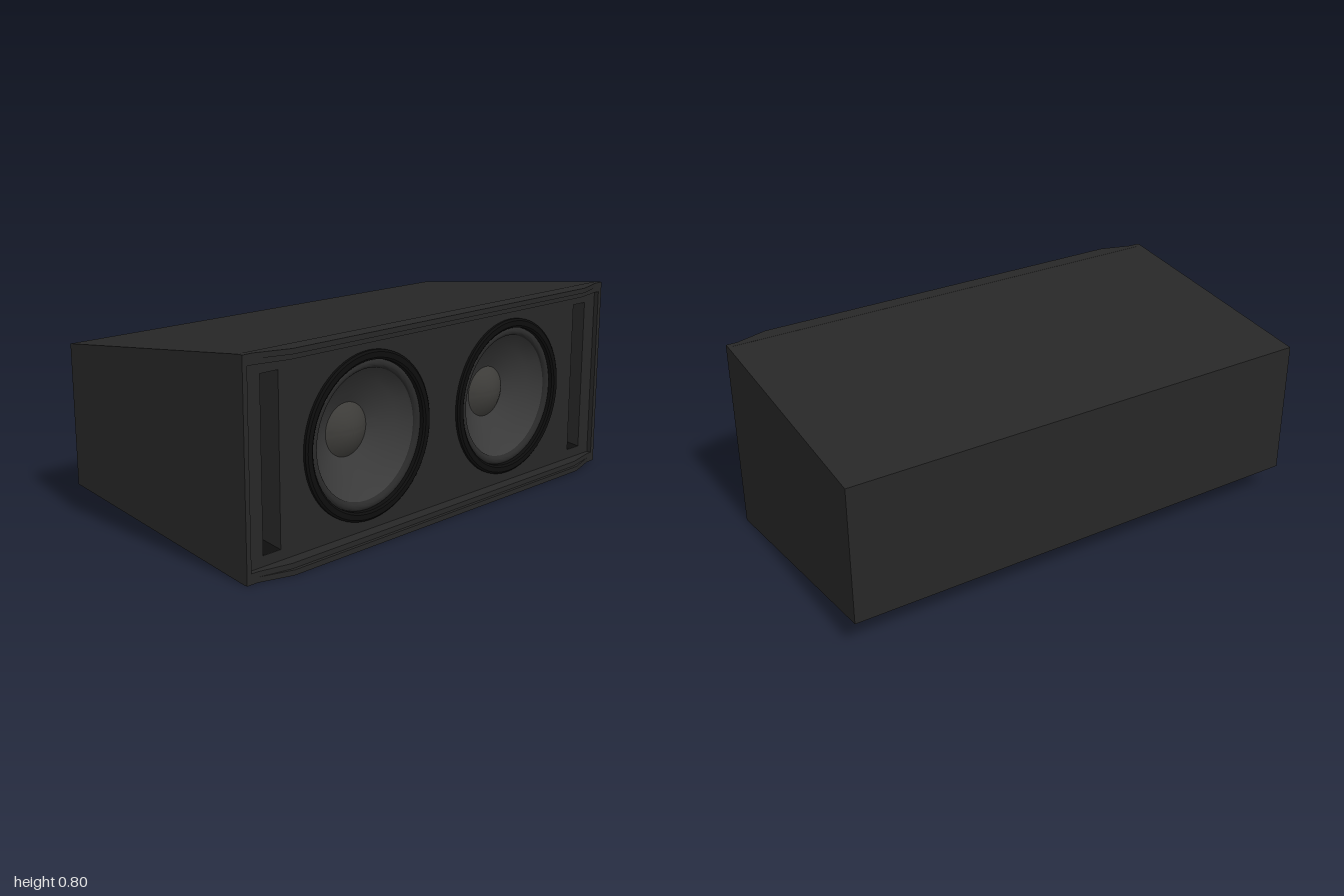
import * as THREE from 'three';
import { toCreasedNormals } from 'three/addons/utils/BufferGeometryUtils.js';

const mat = (color) => new THREE.MeshStandardMaterial({ color, side: THREE.DoubleSide });
const shell = mat(0x272727);
const black = mat(0x0d0d0d);
const surroundMat = mat(0x2a2a2a);
const coneMat = mat(0x3a3a3a);
const capMat = mat(0x3e3d3a);

const BACK = -0.53, FRONT = 0.485, BAFFLE = 0.465, MID = 0.4;

function add(parent, name, geometry, material) {
  const mesh = new THREE.Mesh(geometry, material);
  mesh.name = name;
  parent.add(mesh);
  return mesh;
}

const polygon = (pts) => new THREE.Shape(pts.map(([x, y]) => new THREE.Vector2(x, y)));

// Extrudes an x-y outline along z, centred on z
function prism(pts, depth, z = 0) {
  const g = new THREE.ExtrudeGeometry(polygon(pts), { depth, bevelEnabled: false });
  return g.translate(0, 0, z - depth / 2);
}

// Extrudes a plan outline (x, z) upward from y0 to y1
function slab(pts, y0, y1) {
  const shape = polygon(pts.map(([x, z]) => [x, -z]));
  const g = new THREE.ExtrudeGeometry(shape, { depth: y1 - y0, bevelEnabled: false });
  return g.rotateX(-Math.PI / 2).translate(0, y0, 0);
}

// Lathe profile of [radius, forward offset], turned to face +x
function turned(profile, crease = 0.6) {
  const g = new THREE.LatheGeometry(profile.map(([r, h]) => new THREE.Vector2(r, h)), 64);
  return toCreasedNormals(g.rotateZ(-Math.PI / 2), crease);
}

function makeCabinet() {
  const cabinet = new THREE.Group();
  cabinet.name = 'cabinet';
  const t = 0.02;
  const outline = [[BACK, 0.12], [0.465, 0], [FRONT, 0], [FRONT, 0.8], [0.465, 0.8], [BACK, 0.68]];
  for (const s of [1, -1]) {
    add(cabinet, 'sidePanel', prism(outline, t, s * (1 - t / 2)), shell);
    // Top and bottom panels follow the taper toward the back
    const panel = [[BACK, 0.28], [0.465, 0.4], [FRONT, 0.4], [FRONT, 0.38], [0.465, 0.38], [BACK, 0.26]];
    add(cabinet, s > 0 ? 'topPanel' : 'bottomPanel',
      prism(panel.map(([x, y]) => [x, MID + s * y]), 2 - 2 * t), shell);
  }
  add(cabinet, 'backPanel', new THREE.BoxGeometry(t, 0.555, 1.99).translate(BACK + t / 2, MID, 0), shell);
  return cabinet;
}

// Front board with two round openings and two port slots
function makeBaffle() {
  const shape = polygon([[-0.98, 0.02], [0.98, 0.02], [0.98, 0.78], [-0.98, 0.78]]);
  for (const s of [1, -1]) {
    const circle = new THREE.Path();
    circle.absarc(s * 0.4, MID, 0.29, 0, Math.PI * 2, true);
    const slot = new THREE.Path([[-0.04, 0.08], [-0.04, 0.72], [0.04, 0.72], [0.04, 0.08]]
      .map(([z, y]) => new THREE.Vector2(s * 0.87 + z, y)));
    shape.holes.push(circle, slot);
  }
  const g = new THREE.ExtrudeGeometry(shape, { depth: 0.02, bevelEnabled: false, curveSegments: 48 });
  return g.rotateY(Math.PI / 2).translate(BAFFLE - 0.02, 0, 0);
}

// Deep port whose ends close in toward the back
function makePort(z) {
  const port = new THREE.Group();
  port.name = 'port';
  const x0 = 0.12, x1 = BAFFLE - 0.002;
  const side = [[x0, 0.12], [x1, 0.08], [x1, 0.72], [x0, 0.68]];
  for (const s of [1, -1]) {
    add(port, 'portSide', prism(side, 0.006, z + s * 0.043), shell);
    const end = [[x0, 0.28], [x1, 0.32], [x1, 0.326], [x0, 0.286]];
    add(port, 'portEnd', prism(end.map(([x, y]) => [x, MID + s * y]), 0.08, z), black);
  }
  add(port, 'portBack', new THREE.BoxGeometry(0.006, 0.57, 0.086).translate(x0, MID, z), shell);
  return port;
}

function makeDriver(z) {
  const driver = new THREE.Group();
  driver.name = 'driver';
  add(driver, 'mountingRing',
    turned([[0.32, -0.002], [0.32, 0.01], [0.312, 0.016], [0.292, 0.016], [0.284, 0.01], [0.282, -0.015]]), black);
  // Half-roll surround
  const roll = [];
  for (let i = 0; i <= 8; i++) {
    const a = (i / 8) * Math.PI;
    roll.push([0.267 + 0.017 * Math.cos(a), -0.012 + 0.014 * Math.sin(a)]);
  }
  add(driver, 'surround', turned(roll), surroundMat);
  add(driver, 'cone', turned([[0.25, -0.012], [0.246, -0.018], [0.2, -0.055], [0.15, -0.09], [0.1, -0.12]]), coneMat);
  // Domed centre cap
  const dome = [];
  for (let i = 0; i <= 10; i++) {
    const r = 0.105 * (1 - i / 10);
    dome.push([r, -0.118 + 0.04 * (1 - (r / 0.105) ** 2)]);
  }
  add(driver, 'dustCap', turned(dome), capMat);
  driver.position.set(BAFFLE, MID, z);
  return driver;
}

// Stepped lips along the top and bottom front edges, tapering at both ends
function makeLips() {
  const lips = new THREE.Group();
  lips.name = 'lips';
  const plan = (x) => [[0.46, -0.98], [FRONT, -0.98], [FRONT, -0.955], [x, -0.82],
    [x, 0.82], [FRONT, 0.955], [FRONT, 0.98], [0.46, 0.98]];
  for (const s of [1, -1]) {
    for (const [x, a, b] of [[0.526, 0.38, 0.4], [0.513, 0.36, 0.38]]) {
      const ys = [MID + s * a, MID + s * b].sort((p, q) => p - q);
      add(lips, s > 0 ? 'topLip' : 'bottomLip', slab(plan(x), ys[0], ys[1]), shell);
    }
  }
  return lips;
}

export function createModel() {
  const model = new THREE.Group();
  model.name = 'loudspeaker';
  model.add(makeCabinet(), makeLips());
  add(model, 'baffle', makeBaffle(), shell);
  for (const s of [1, -1]) model.add(makeDriver(s * 0.4), makePort(s * 0.87));
  return model;
}
